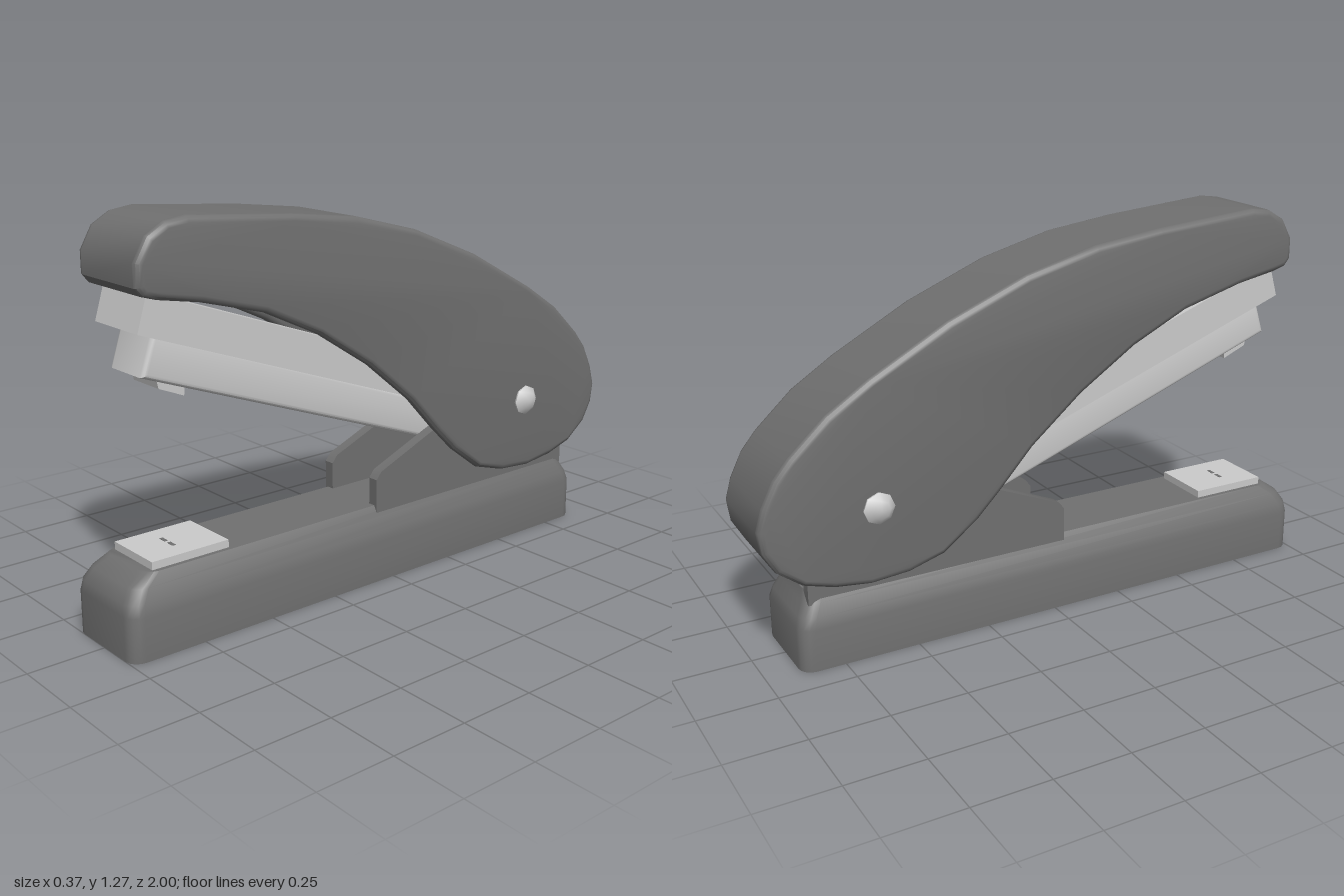
import * as THREE from 'three';
import { toCreasedNormals } from 'three/addons/utils/BufferGeometryUtils.js';

const dark = new THREE.MeshStandardMaterial({ color: 0x707070, side: THREE.DoubleSide });
const light = new THREE.MeshStandardMaterial({ color: 0xcccccc });

// Side profile of [z, y] points, extruded from x0 to x1 with an optional rounded edge
function extrudeX(points, x0, x1, bevel = 0) {
  const shape = new THREE.Shape(points.map(([z, y]) => new THREE.Vector2(z, y)));
  const geo = new THREE.ExtrudeGeometry(shape, {
    depth: x1 - x0 - 2 * bevel, bevelEnabled: bevel > 0, bevelThickness: bevel,
    bevelSize: bevel, bevelOffset: -bevel, bevelSegments: 3,
  });
  geo.rotateY(-Math.PI / 2);
  geo.translate(x1 - bevel, 0, 0);
  return toCreasedNormals(geo, 0.65);
}

// Open-bottomed shell from rounded rectangular rings [y, halfWidth, zFront, zBack]
function ringShell(rings, radius) {
  const pos = [], index = [], steps = 4, n = 4 * (steps + 1);
  for (const [y, hw, zf, zb] of rings) {
    const corners = [[hw - radius, zf - radius], [-hw + radius, zf - radius],
      [-hw + radius, zb + radius], [hw - radius, zb + radius]];
    corners.forEach(([cx, cz], c) => {
      for (let i = 0; i <= steps; i++) {
        const a = (c + i / steps) * Math.PI / 2;
        pos.push(cx + radius * Math.cos(a), y, cz + radius * Math.sin(a));
      }
    });
  }
  for (let r = 0; r < rings.length - 1; r++) {
    for (let i = 0; i < n; i++) {
      const a = r * n + i, b = r * n + (i + 1) % n;
      index.push(a, a + n, b, b, a + n, b + n);
    }
  }
  const last = (rings.length - 1) * n;
  for (let i = 1; i < n - 1; i++) index.push(last, last + i + 1, last + i);
  const geo = new THREE.BufferGeometry();
  geo.setAttribute('position', new THREE.Float32BufferAttribute(pos, 3));
  geo.setIndex(index);
  return toCreasedNormals(geo, 0.75);
}

// Handle outline: front nose, over the top, round the back
const handleTop = [
  [0.91, 1.065], [0.93, 1.09], [0.93, 1.16], [0.89, 1.23], [0.83, 1.265], [0.76, 1.275],
  [0.39, 1.245], [0.15, 1.215], [-0.1, 1.15], [-0.37, 1.04], [-0.63, 0.9], [-0.77, 0.81],
  [-0.89, 0.7], [-0.94, 0.64], [-0.98, 0.56], [-1, 0.49], [-0.99, 0.42], [-0.95, 0.35],
  [-0.87, 0.29], [-0.77, 0.26],
];
// Handle outline: underside, from the back to the nose
const handleUnder = [
  [-0.65, 0.245], [-0.52, 0.255], [-0.4, 0.29], [-0.28, 0.38], [-0.2, 0.46], [-0.08, 0.59],
  [0.1, 0.74], [0.3, 0.87], [0.5, 0.965], [0.72, 1.025], [0.86, 1.05],
];

// Shift an open outline sideways by a fixed distance
function inset(points, d) {
  return points.map(([z, y], i) => {
    const a = points[Math.max(i - 1, 0)], b = points[Math.min(i + 1, points.length - 1)];
    const dz = b[0] - a[0], dy = b[1] - a[1], len = Math.hypot(dz, dy);
    return [z - dy / len * d, y + dz / len * d];
  });
}

export function createModel() {
  const model = new THREE.Group();
  const add = (name, geo, mat, parent = model) => {
    const mesh = new THREE.Mesh(geo, mat);
    mesh.name = name;
    parent.add(mesh);
    return mesh;
  };

  // Base
  add('base', ringShell([
    [0, 0.163, 1, -0.89], [0.14, 0.163, 1, -0.89], [0.175, 0.155, 0.995, -0.88],
    [0.215, 0.138, 0.97, -0.86], [0.25, 0.12, 0.92, -0.85],
  ], 0.045), dark);

  // Crimping plate with two small grooves
  const plate = add('anvilPlate', new THREE.BoxGeometry(0.21, 0.055, 0.27), light);
  plate.position.set(0, 0.2475, 0.755);
  for (const s of [1, -1]) {
    const groove = add('crimpGroove', new THREE.BoxGeometry(0.03, 0.002, 0.012), dark);
    groove.position.set(s * 0.022, 0.275, 0.77);
  }

  // Hinge bracket cheeks
  const cheek = [[0.05, 0.21], [0.05, 0.34], [0.03, 0.365], [-0.2, 0.46], [-0.5, 0.56],
    [-0.7, 0.56], [-0.8, 0.45], [-0.85, 0.3], [-0.85, 0.21]];
  add('leftBracket', extrudeX(cheek, 0.095, 0.132), dark);
  add('rightBracket', extrudeX(cheek, -0.132, -0.095), dark);

  // Hollow handle: two side walls joined by a curved top
  const handle = new THREE.Group();
  handle.name = 'handle';
  model.add(handle);
  const outline = [...handleTop, ...handleUnder];
  add('leftWall', extrudeX(outline, 0.115, 0.16, 0.02), dark, handle);
  add('rightWall', extrudeX(outline, -0.16, -0.115, 0.02), dark, handle);
  add('handleTop', extrudeX([...handleTop, ...inset(handleTop, 0.04).reverse()], -0.14, 0.14), dark, handle);

  // Magazine: wider upper channel, staple rail below, staple exit
  add('upperChannel', extrudeX(
    [[0.875, 1.07], [0.91, 0.955], [-0.5, 0.45], [-0.54, 0.565]], -0.115, 0.115), light);
  add('stapleRail', extrudeX(
    [[0.845, 0.945], [0.885, 0.82], [-0.6, 0.278], [-0.64, 0.40]], -0.09, 0.09, 0.015), light);
  add('stapleExit', extrudeX(
    [[0.83, 0.82], [0.82, 0.775], [0.735, 0.74], [0.73, 0.78]], -0.067, 0.067), light);

  // Hinge pin with domed ends
  const half = [[0, 0.187], [0.03, 0.183], [0.052, 0.165]];
  const pinProfile = [...half.map(([r, h]) => [r, -h]), ...half.slice().reverse()]
    .map(([r, h]) => new THREE.Vector2(r, h));
  const pin = add('hingePin', toCreasedNormals(new THREE.LatheGeometry(pinProfile, 8), 0.8), light);
  pin.rotation.z = Math.PI / 2;
  pin.position.set(0, 0.495, -0.62);

  return model;
}
